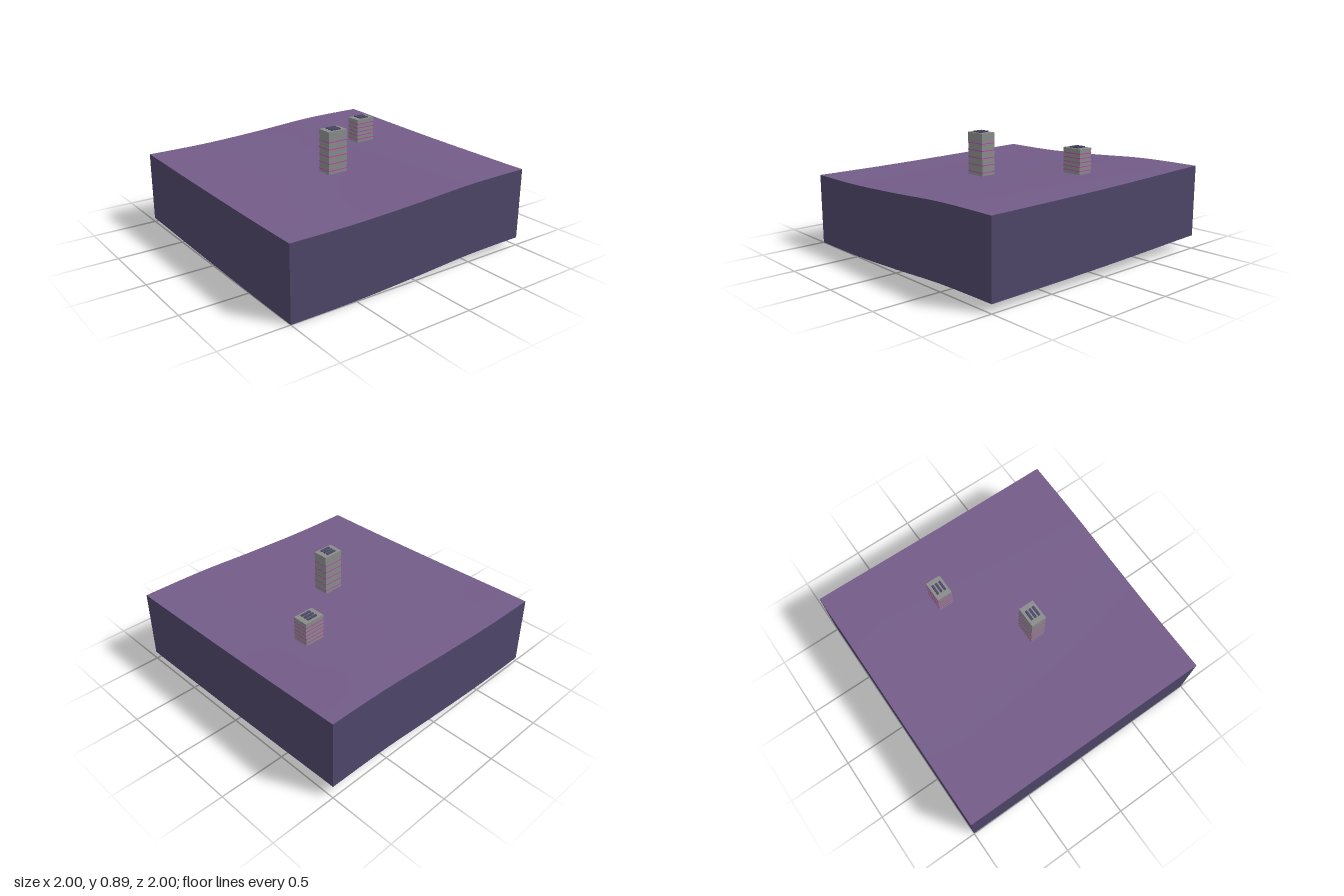
import * as THREE from 'three';

const material = (name, color, side = THREE.FrontSide) => {
  const m = new THREE.MeshStandardMaterial({ color, side });
  m.name = name;
  return m;
};

// Height profile sampled at five even steps
const profile = (values) => {
  const curve = new THREE.SplineCurve(values.map((v, i) => new THREE.Vector2(i, v)));
  return (t) => curve.getPoint(THREE.MathUtils.clamp(t, 0, 1)).y;
};
const frontEdge = profile([0.567, 0.556, 0.546, 0.539, 0.537]);
const backEdge = profile([0.638, 0.624, 0.611, 0.603, 0.598]);
const rise = profile([0, 0.07, 0.43, 0.9, 1]);

const groundHeight = (x, z) => {
  const t = (x + 1) / 2;
  return THREE.MathUtils.lerp(frontEdge(t), backEdge(t), rise((1 - z) / 2));
};

const WALL_DEPTH = 0.535;

// Moves a sheet's vertices onto the ground, lower ones by the wall depth
function drape(geometry, isLower) {
  const p = geometry.attributes.position;
  for (let i = 0; i < p.count; i++) {
    const drop = isLower(p.getY(i)) ? WALL_DEPTH : 0;
    p.setY(i, groundHeight(p.getX(i), p.getZ(i)) - drop);
  }
  geometry.computeVertexNormals();
  return geometry;
}

export function createModel() {
  const model = new THREE.Group();
  model.name = 'terrainTile';

  const ground = material('groundPurple', 0x735c88, THREE.DoubleSide);
  const cliff = material('cliffIndigo', 0x4e4669, THREE.DoubleSide);
  const concrete = material('concreteGrey', 0x8a8c8c);
  const neon = material('neonMagenta', 0xc03cb0);
  const vent = material('ventSlate', 0x4a4866);

  const add = (parent, name, geometry, mat, x = 0, y = 0, z = 0) => {
    const mesh = new THREE.Mesh(geometry, mat);
    mesh.name = name;
    mesh.position.set(x, y, z);
    parent.add(mesh);
    return mesh;
  };

  // Rolling ground sheet
  const sheet = new THREE.PlaneGeometry(2, 2, 32, 32).rotateX(-Math.PI / 2);
  add(model, 'groundSurface', drape(sheet, () => false), ground);

  // Four side walls, open underneath
  ['frontWall', 'leftWall', 'backWall', 'rightWall'].forEach((name, i) => {
    const wall = new THREE.PlaneGeometry(2, 1, 32, 1).translate(0, 0, 1).rotateY((i * Math.PI) / 2);
    add(model, name, drape(wall, (y) => y < 0), cliff);
  });

  // Towers: plain block, lit floor bands and three roof vents
  const WIDTH = 0.118, DEPTH = 0.16;
  const tower = (name, x, z, base, top, firstBand, bandStep) => {
    const group = new THREE.Group();
    group.name = name;
    group.position.set(x, 0, z);
    model.add(group);
    add(group, 'block', new THREE.BoxGeometry(WIDTH, top - base, DEPTH), concrete, 0, (base + top) / 2);
    for (let i = 0; i < 5; i++) {
      const band = new THREE.BoxGeometry(WIDTH + 0.002, 0.006, DEPTH + 0.002);
      add(group, 'floorBand', band, neon, 0, firstBand + i * bandStep);
    }
    for (const dx of [-0.03, 0, 0.03]) {
      add(group, 'roofVent', new THREE.BoxGeometry(0.017, 0.009, 0.08), vent, dx, top + 0.0045);
    }
  };
  tower('tallTower', 0.165, 0.08, 0.57, 0.886, 0.595, 0.0535);
  tower('shortTower', -0.252, -0.5, 0.61, 0.796, 0.636, 0.031);

  return model;
}
